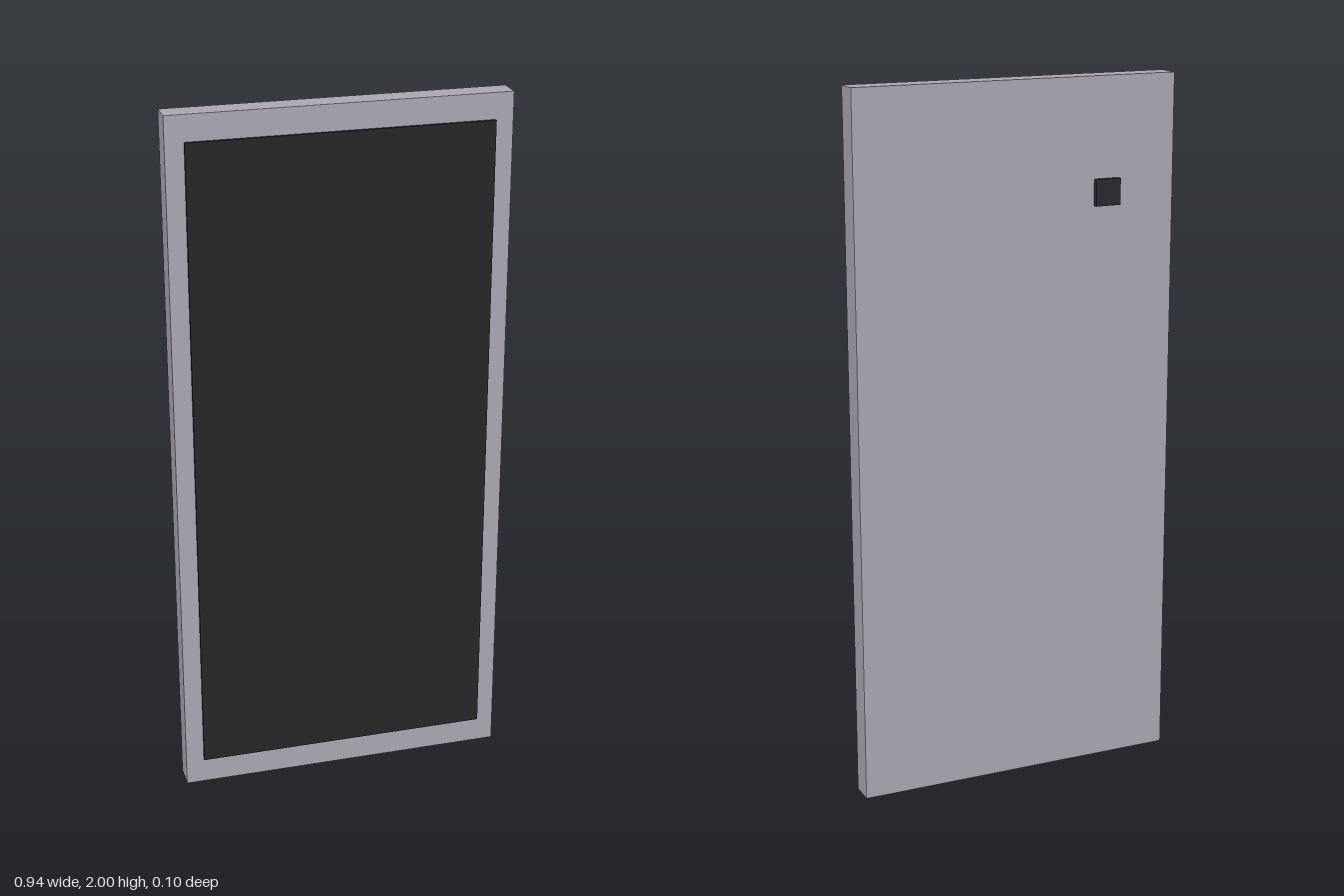
import * as THREE from 'three';

// Box given by its min and max corners
function slab(name, color, [x0, y0, z0], [x1, y1, z1]) {
  const mesh = new THREE.Mesh(
    new THREE.BoxGeometry(x1 - x0, y1 - y0, z1 - z0),
    new THREE.MeshStandardMaterial({ color })
  );
  mesh.position.set((x0 + x1) / 2, (y0 + y1) / 2, (z0 + z1) / 2);
  mesh.name = name;
  return mesh;
}

export function createModel() {
  const model = new THREE.Group();
  model.name = 'slabPhone';
  model.add(
    // Main casing
    slab('casing', 0xaaa6b4, [-0.472, 0, -0.034], [0.472, 2, 0.036]),
    // Thin display panel floating just off the front
    slab('screen', 0x262626, [-0.421, 0.078, 0.039], [0.421, 1.928, 0.048]),
    // Small square lens block on the back
    slab('rearCamera', 0x2b2930, [-0.303, 1.646, -0.049], [-0.229, 1.72, -0.034])
  );
  return model;
}
